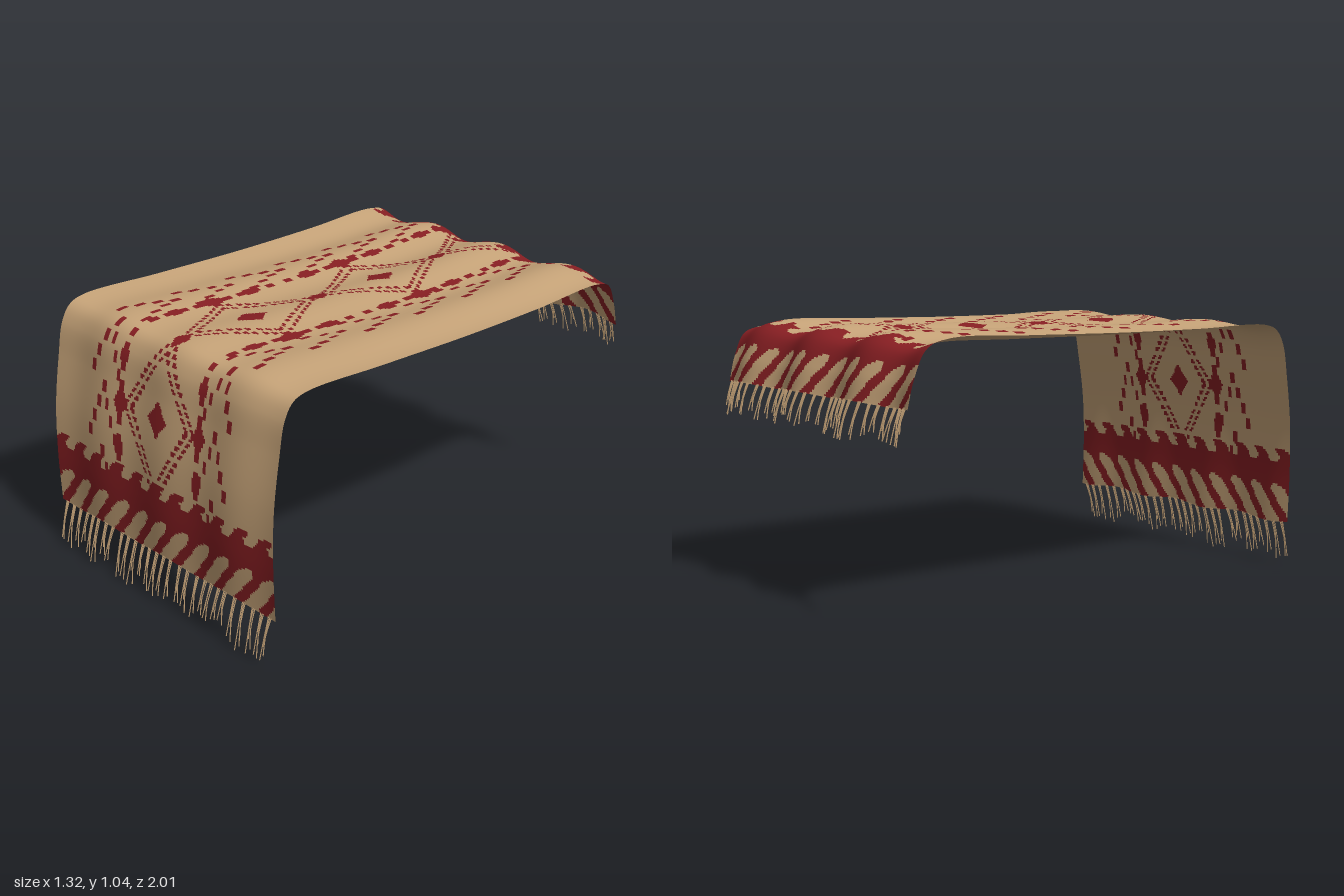
import * as THREE from 'three';
import { mergeGeometries } from 'three/addons/utils/BufferGeometryUtils.js';

const HALF_W = 0.64;
const mod = (a, n) => ((a % n) + n) % n;
const V = (x, y, z) => new THREE.Vector3(x, y, z);

// Centre line of the cloth from the front hem, over the top, to the back hem
const spine = new THREE.CatmullRomCurve3([
  V(0, 0.19, 0.945), V(-0.003, 0.4, 0.948), V(-0.01, 0.6, 0.935), V(-0.017, 0.8, 0.9),
  V(-0.02, 0.93, 0.87), V(-0.02, 0.99, 0.83), V(-0.018, 1.013, 0.77), V(-0.008, 1.012, 0.4),
  V(0.008, 1.013, 0), V(0.017, 1.02, -0.4), V(0.008, 1.024, -0.78), V(0.006, 0.995, -0.87),
  V(0.005, 0.9, -0.92), V(0.004, 0.8, -0.947),
], false, 'centripetal');
spine.arcLengthDivisions = 800;
const LENGTH = spine.getLength();

// Point of the cloth u across and s along, with soft ripples
function clothPoint(u, s) {
  const f = THREE.MathUtils.clamp(s / LENGTH, 0, 1);
  const p = spine.getPointAt(f), t = spine.getTangentAt(f);
  const normal = V(0, -t.z, t.y).normalize();
  const ripple = Math.cos((u - 0.08 + 0.05 * (1 - f)) * 2 * Math.PI / 0.38);
  const amp = 0.006 + 0.013 * f * f;
  p.addScaledVector(normal, ripple * amp);
  p.x += u;
  p.y += 0.007 * ripple * Math.max(0, 1 - s / 0.2);
  return p;
}

// Border: slanted stripes, a solid band and curling hooks (h = distance from hem)
function inBorder(w, h) {
  if (h > 0.31) return false;
  if (h < 0.16) {
    const t = mod(w - 0.8 * h - 0.475, 0.12) / 0.12;
    const lobe = 0.155 - 0.25 * (t - 0.3) ** 2;
    return !(t < 0.6 && h < lobe);
  }
  if (h < 0.245) return true;
  const k = (h - 0.245) / 0.06;
  const t = mod(w - 0.045 * k - 0.535, 0.12);
  return k < 0.5 ? t < 0.085 - 0.07 * k : t < 0.062 && k < 1.02 - 6 * Math.abs(t - 0.035);
}

const REPEAT = 0.655, APEX = 0.258;

// Central chain of stepped double diamonds
function inDiamonds(u, s) {
  const v = Math.abs(mod(s - 0.545 + REPEAT / 2, REPEAT) - REPEAT / 2);
  const a = Math.abs(u), tip = REPEAT / 2 - v;
  if (a / 0.058 + v / 0.072 < 1) return true;
  if (a / 0.035 + Math.abs(tip - 0.005) / 0.05 < 1 || (tip < 0.03 && a < 0.018)) return true;
  const d = a / 0.205 + v / (REPEAT / 2);
  const outline = Math.abs(d - 0.98) < 0.045 || Math.abs(d - 0.8) < 0.045;
  return outline && mod(v, 0.03) < 0.019;
}

// Side columns of dashes and rows of nested chevrons
function inSides(u, s) {
  const a = Math.abs(u);
  const v = Math.abs(mod(s - 0.545 + REPEAT / 2, REPEAT) - REPEAT / 2);
  const c = Math.abs(a - 0.228);
  if (c / 0.036 + v / 0.075 < 1) return true;
  if (Math.abs(v - 0.18) < 0.025 && c < 0.02) return true;
  if (mod(v + 0.02, 0.07) < 0.04 && c < 0.011) return true;
  const drop = mod(0.345 - s, APEX);
  const step = Math.floor(drop / 0.0645);
  const within = drop - step * 0.0645;
  return within < 0.045 && Math.abs(Math.abs(a - 0.322) - step * 0.025) < (step ? 0.01 : 0.013);
}

function isRed(u, s) {
  const back = LENGTH - s;
  if (inBorder(u, s) || inBorder(-u, back)) return true;
  if (s < 0.245 || back < 0.245) return false;
  return inDiamonds(u + 0.008, s) || inSides(u + 0.008, s);
}

// Woven cloth grid, each cell sorted into one of the two yarn colours
function clothGeometry() {
  const nu = 150, ns = 300, pos = [], plain = [], red = [];
  for (let j = 0; j <= ns; j++)
    for (let i = 0; i <= nu; i++)
      pos.push(...clothPoint((i / nu * 2 - 1) * HALF_W, j / ns * LENGTH).toArray());
  for (let j = 0; j < ns; j++)
    for (let i = 0; i < nu; i++) {
      const a = j * (nu + 1) + i, d = a + nu + 1;
      const u = ((i + 0.5) / nu * 2 - 1) * HALF_W, s = (j + 0.5) / ns * LENGTH;
      (isRed(u, s) ? red : plain).push(a, a + 1, d + 1, a, d + 1, d);
    }
  const g = new THREE.BufferGeometry();
  g.setAttribute('position', new THREE.Float32BufferAttribute(pos, 3));
  g.setIndex(plain.concat(red));
  g.addGroup(0, plain.length, 0);
  g.addGroup(plain.length, red.length, 1);
  g.computeVertexNormals();
  return g;
}

// Knotted tassels along one hem; side is 1 at the front and -1 at the back
function fringeGeometry(side, drop, flare) {
  let seed = side > 0 ? 7 : 19;
  const rand = () => (seed = (seed * 16807) % 2147483647) / 2147483647;
  for (let i = 0; i < 8; i++) rand();
  const strands = [], count = 28;
  for (let i = 0; i < count; i++) {
    const u = ((i + 0.5) / count * 2 - 1) * (HALF_W - 0.005) + (rand() - 0.5) * 0.012;
    const root = clothPoint(u, side > 0 ? 0.004 : LENGTH - 0.004);
    const length = drop * (0.72 + 0.28 * rand());
    const lean = (rand() - 0.5) * 0.02;
    for (let k = -1; k <= 1; k++) {
      const l = length * (k ? 0.82 + 0.18 * rand() : 0.65);
      const start = root.clone().add(V(k * 0.007, 0, 0));
      const end = start.clone().add(V(lean + k * 0.004 + (rand() - 0.5) * 0.01, -l,
        side * flare * l / drop * (0.85 + 0.15 * rand())));
      const middle = start.clone().lerp(end, 0.5).add(V(-k * 0.004, 0, side * 0.005));
      strands.push(new THREE.TubeGeometry(new THREE.CatmullRomCurve3([start, middle, end]), 4, 0.0027, 4));
    }
  }
  return mergeGeometries(strands);
}

export function createModel() {
  const tan = new THREE.MeshStandardMaterial({ color: 0xc6a378, side: THREE.DoubleSide });
  tan.name = 'tanWool';
  const red = new THREE.MeshStandardMaterial({ color: 0x861e22, side: THREE.DoubleSide });
  red.name = 'redWool';
  const group = new THREE.Group();
  group.name = 'wovenBlanket';
  const add = (name, geometry, material) => {
    const mesh = new THREE.Mesh(geometry, material);
    mesh.name = name;
    group.add(mesh);
  };
  add('cloth', clothGeometry(), [tan, red]);
  add('frontFringe', fringeGeometry(1, 0.188, 0.052), tan);
  add('backFringe', fringeGeometry(-1, 0.14, 0.05), tan);
  return group;
}
